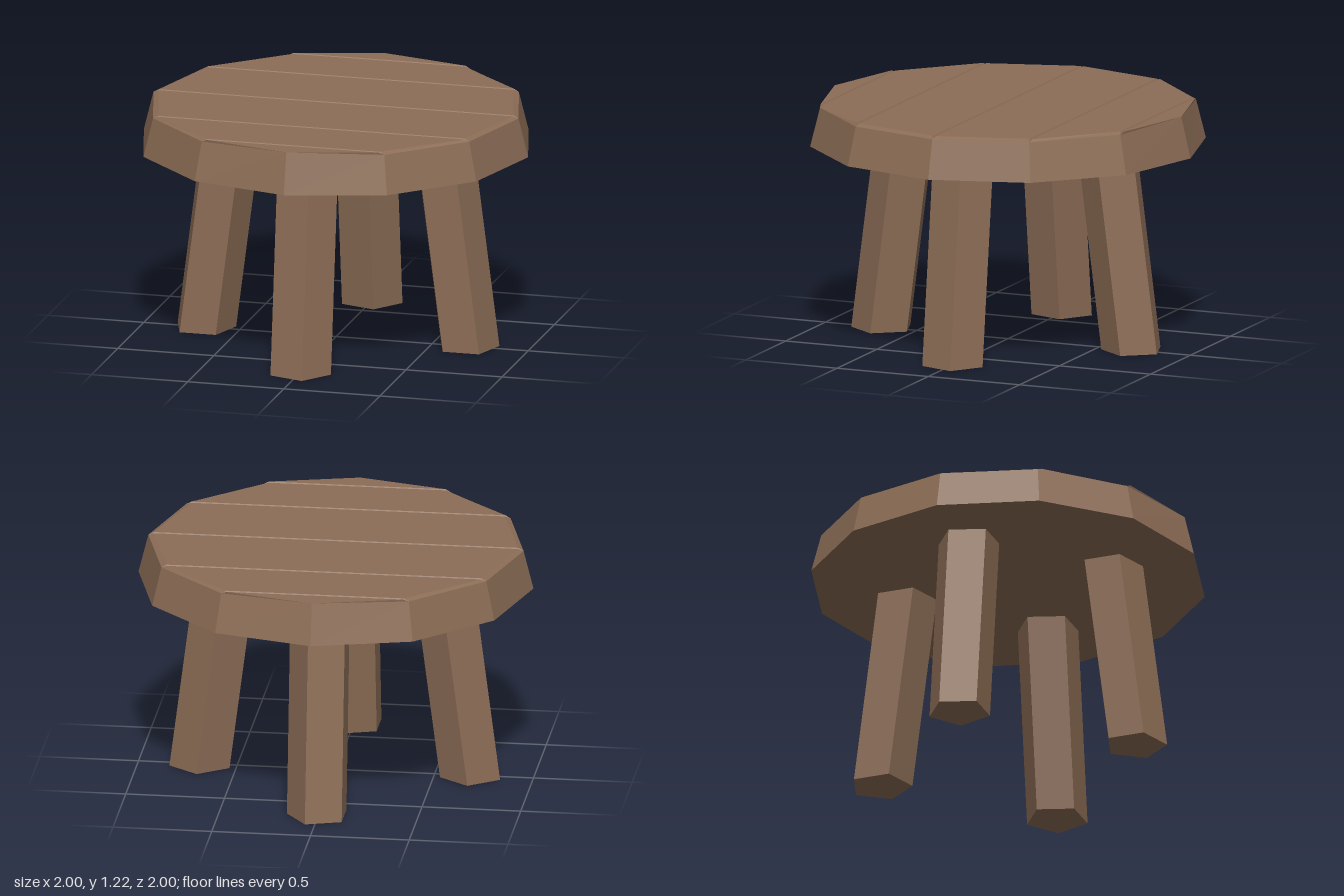
import * as THREE from 'three';

const TOP = 1.22, GROOVE = 1.208, UNDER = 1.01; // heights of the table top
const SIDES = 12, STEP = Math.PI / 6, R_TOP = 0.95, R_BOTTOM = 1;

// Flat-shaded geometry from a list of quads, corners counter-clockwise
function quadGeometry(quads) {
  const pos = [];
  for (const [a, b, c, d] of quads) pos.push(...a, ...b, ...c, ...a, ...c, ...d);
  const g = new THREE.BufferGeometry();
  g.setAttribute('position', new THREE.Float32BufferAttribute(pos, 3));
  g.computeVertexNormals();
  return g;
}

// Plank between two opposite pairs of rim corners, with bevelled edges forming V grooves
function plankGeometry(k) {
  const row = (j, inward) => {
    const z = R_TOP * Math.sin(j * STEP);
    const x = R_TOP * Math.cos(j * STEP);
    if (Math.abs(j) === 3) return { outer: [0, TOP, z], inner: [0, TOP, z], tip: true };
    return { outer: [x, GROOVE, z], inner: [x - 0.027, TOP, z + inward * 0.009] };
  };
  const flip = ([x, y, z]) => [-x, y, z];
  const a = row(k, 1), b = row(k + 1, -1);
  const outer = [flip(a.outer), flip(b.outer), b.outer, a.outer];
  const inner = [flip(a.inner), flip(b.inner), b.inner, a.inner];
  const quads = [inner];
  for (let i = 0; i < 4; i++) {
    if ((i === 1 && b.tip) || (i === 3 && a.tip)) continue;
    const n = (i + 1) % 4;
    quads.push([outer[i], outer[n], inner[n], inner[i]]);
  }
  return quadGeometry(quads);
}

// Slanted twelve-sided rim; only the front and back corners reach full height
function rimGeometry() {
  const corner = (i, r, y) => [r * Math.cos(i * STEP), y, -r * Math.sin(i * STEP)];
  const upper = (i) => corner(i, R_TOP, i % 6 === 3 ? TOP : GROOVE);
  const quads = [];
  for (let i = 0; i < SIDES; i++) {
    quads.push([corner(i, R_BOTTOM, UNDER), corner(i + 1, R_BOTTOM, UNDER), upper(i + 1), upper(i)]);
  }
  return quadGeometry(quads);
}

// Five-sided leg leaning inwards, with level ends
function legGeometry(dx, dz, ridgeAngle) {
  const height = 1.04, lean = 0.13 / 1.01, foot = 0.685;
  let g = new THREE.CylinderGeometry(0.16, 0.16, height, 5, 1, false, ridgeAngle);
  g.translate(0, height / 2, 0);
  const p = g.attributes.position;
  for (let i = 0; i < p.count; i++) {
    const offset = foot - lean * p.getY(i);
    p.setX(i, p.getX(i) + dx * offset);
    p.setZ(i, p.getZ(i) + dz * offset);
  }
  g = g.toNonIndexed();
  g.computeVertexNormals();
  return g;
}

export function createModel() {
  const wood = new THREE.MeshStandardMaterial({ color: 0x8c6d56 });
  wood.name = 'brownWood';
  const model = new THREE.Group();
  model.name = 'roundTable';
  const add = (parent, name, geometry) => {
    const mesh = new THREE.Mesh(geometry, wood);
    mesh.name = name;
    parent.add(mesh);
  };

  // Table top: planks, rim and underside
  const top = new THREE.Group();
  top.name = 'tableTop';
  model.add(top);
  for (let k = -3; k < 3; k++) add(top, `plank${k + 4}`, plankGeometry(k));
  add(top, 'rim', rimGeometry());
  add(top, 'underside', new THREE.CircleGeometry(R_BOTTOM, SIDES).rotateX(Math.PI / 2).translate(0, UNDER, 0));

  // Legs: front and back ridges face +x, side ridges face -z
  add(model, 'frontLeg', legGeometry(0, 1, Math.PI / 2));
  add(model, 'backLeg', legGeometry(0, -1, Math.PI / 2));
  add(model, 'leftLeg', legGeometry(1, 0, Math.PI));
  add(model, 'rightLeg', legGeometry(-1, 0, Math.PI));
  return model;
}
